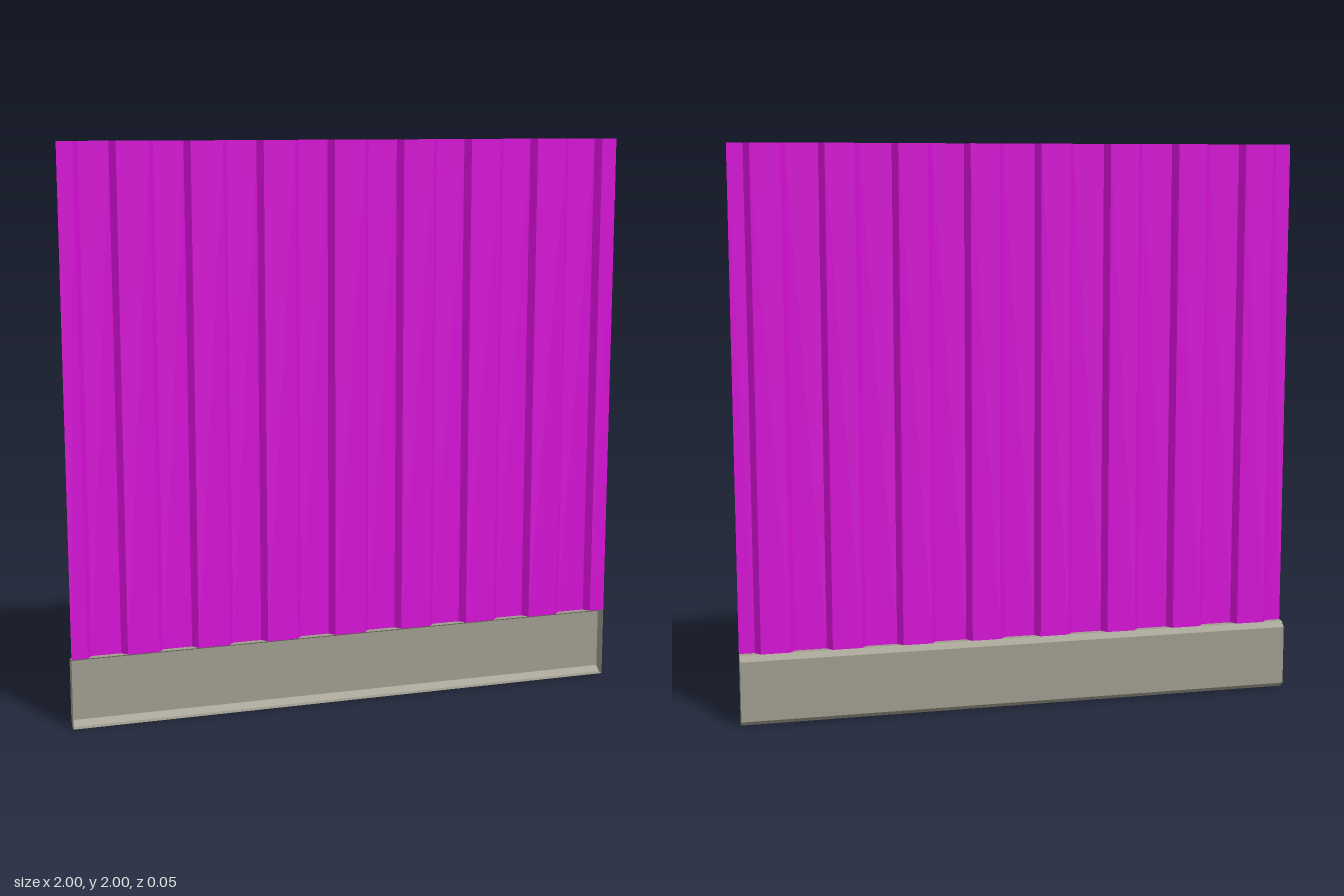
import * as THREE from 'three';

const BASE_TOP = 0.25, FRONT = 0.023, MID = -0.001, BACK = -0.023;

// Open sheet: a folded line of points, swept from one end to the other.
function foldedSheet(start, end) {
  const pos = [];
  for (let i = 0; i < start.length - 1; i++) {
    const a = start[i], b = start[i + 1], c = end[i + 1], d = end[i];
    for (const p of [a, b, c, a, c, d]) pos.push(...p);
  }
  const geo = new THREE.BufferGeometry();
  geo.setAttribute('position', new THREE.Float32BufferAttribute(pos, 3));
  geo.computeVertexNormals();
  return geo;
}

function addMesh(parent, name, geometry, material) {
  const mesh = new THREE.Mesh(geometry, material);
  mesh.name = name;
  parent.add(mesh);
  return mesh;
}

export function createModel() {
  const paint = new THREE.MeshStandardMaterial({ color: 0xd60fd6, side: THREE.DoubleSide });
  paint.name = 'magenta paint';
  const concrete = new THREE.MeshStandardMaterial({ color: 0x9f9c8e, side: THREE.DoubleSide });
  concrete.name = 'grey concrete';

  const model = new THREE.Group();
  model.name = 'corrugatedFence';

  // Corrugated sheet: eight recessed grooves between flat ridges
  const line = [[-1, FRONT]];
  for (let i = 0; i < 8; i++) {
    const x = -0.875 + i * 0.25;
    line.push([x - 0.07, FRONT], [x - 0.051, MID], [x + 0.051, MID], [x + 0.07, FRONT]);
  }
  line.push([1, FRONT]);
  const at = (y) => line.map(([x, z]) => [x, y, z]);
  addMesh(model, 'corrugatedPanel', foldedSheet(at(BASE_TOP), at(2)), paint);

  // Base channel: open to the front, chamfered towards the back
  const base = new THREE.Group();
  base.name = 'base';
  model.add(base);
  const profile = [
    [0, FRONT], [0, MID], [0.018, BACK],
    [BASE_TOP - 0.018, BACK], [BASE_TOP, MID], [BASE_TOP, FRONT],
  ];
  const section = (x) => profile.map(([y, z]) => [x, y, z]);
  addMesh(base, 'baseChannel', foldedSheet(section(-1), section(1)), concrete);

  // End caps with the same outline as the channel
  const outline = new THREE.Shape(profile.map(([y, z]) => new THREE.Vector2(-z, y)));
  for (const side of [-1, 1]) {
    const cap = addMesh(base, side > 0 ? 'leftEndCap' : 'rightEndCap',
      new THREE.ShapeGeometry(outline).rotateY(Math.PI / 2), concrete);
    cap.position.x = side;
  }
  return model;
}
